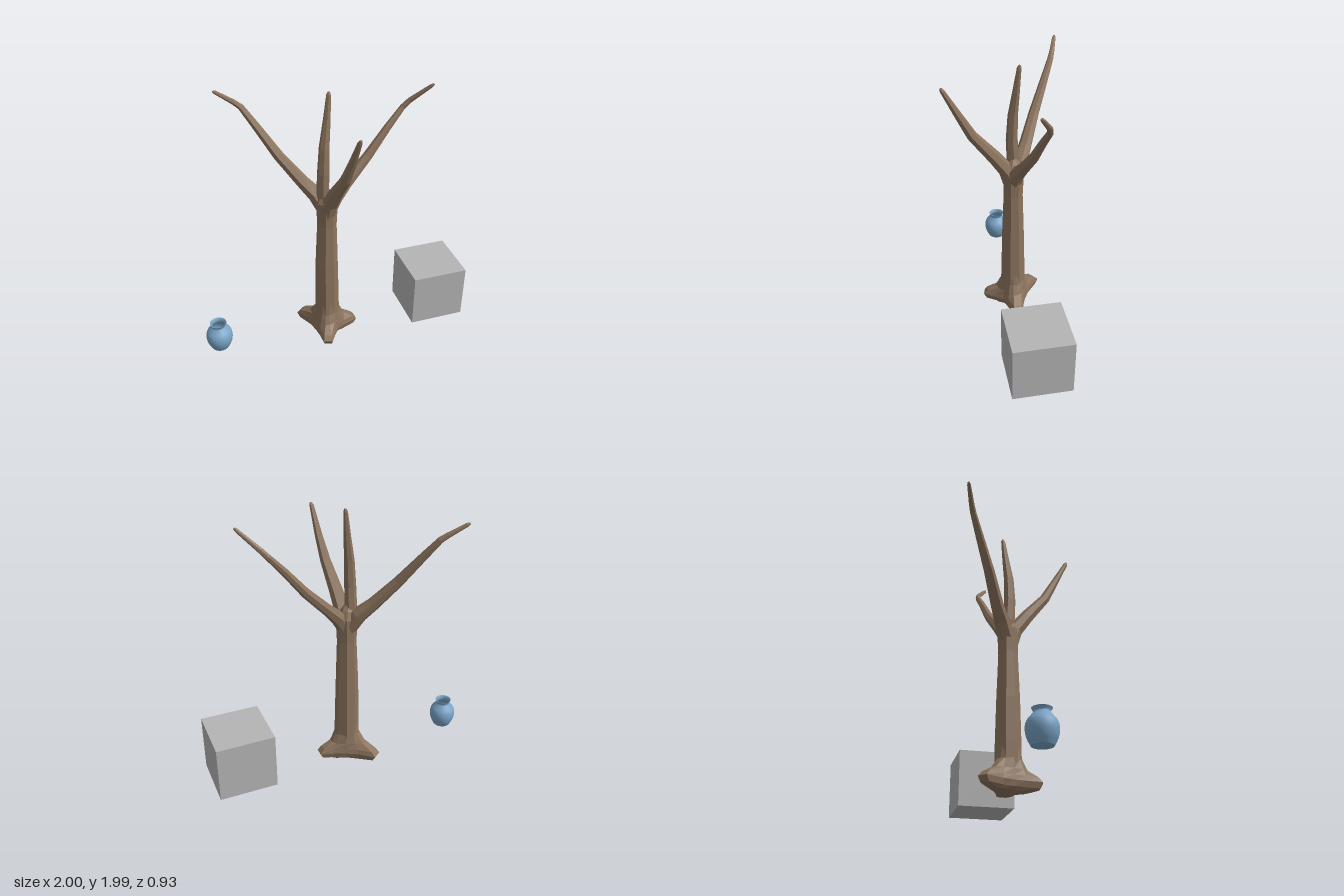
import * as THREE from 'three';

const V = (x, y, z) => new THREE.Vector3(x, y, z);
const DEG = Math.PI / 180;

// Closed skin over a stack of rings, all wound the same way
function loft(rings) {
  const pos = [];
  const tri = (...pts) => pts.forEach((p) => pos.push(p.x, p.y, p.z));
  const n = rings[0].length;
  const centre = (r) => r.reduce((s, p) => s.add(p), V(0, 0, 0)).divideScalar(n);
  const first = rings[0], last = rings[rings.length - 1];
  const c0 = centre(first), c1 = centre(last);
  for (let j = 0; j < n; j++) {
    const k = (j + 1) % n;
    for (let i = 0; i < rings.length - 1; i++) {
      const a = rings[i], b = rings[i + 1];
      tri(a[j], a[k], b[k]);
      tri(a[j], b[k], b[j]);
    }
    tri(c0, first[k], first[j]);
    tri(c1, last[j], last[k]);
  }
  const g = new THREE.BufferGeometry();
  g.setAttribute('position', new THREE.Float32BufferAttribute(pos, 3));
  g.computeVertexNormals();
  return g;
}

// Faceted limb through [x, y, z, radius] stations
function limb(stations, sides) {
  const pts = stations.map((s) => V(s[0], s[1], s[2]));
  return loft(pts.map((p, i) => {
    const t = pts[Math.min(i + 1, pts.length - 1)].clone().sub(pts[Math.max(i - 1, 0)]).normalize();
    const u = V(0, 0, 1).cross(t).normalize();
    const v = t.clone().cross(u);
    return Array.from({ length: sides }, (_, j) => {
      const a = ((j + 0.5) / sides) * Math.PI * 2, r = stations[i][3];
      return p.clone().addScaledVector(u, Math.cos(a) * r).addScaledVector(v, Math.sin(a) * r);
    });
  }));
}

// Flared foot with three root toes: per height, radius at toe, shoulder and valley
function rootGeometry() {
  const levels = [
    [0.0, 0.06, 0.05, 0.04],
    [0.012, 0.15, 0.115, 0.08],
    [0.03, 0.215, 0.13, 0.1],
    [0.07, 0.238, 0.145, 0.108],
    [0.105, 0.208, 0.135, 0.103],
    [0.15, 0.135, 0.115, 0.097],
    [0.22, 0.096, 0.092, 0.089],
    [0.29, 0.086, 0.086, 0.085],
    [0.36, 0.07, 0.07, 0.07],
  ];
  const toes = [[0, 0.97, 64], [129, 1.12, 192], [255, 0.96, 307]];
  return loft(levels.map(([y, toe, shoulder, valley]) => {
    const ring = [];
    const add = (deg, r) => ring.push(V(-0.06 + Math.cos(deg * DEG) * r, y, -0.03 - Math.sin(deg * DEG) * r));
    for (const [c, reach, gap] of toes) {
      const r = y < 0.2 ? toe * reach : toe;
      add(c - 26, shoulder);
      add(c - 8, r);
      add(c + 8, r);
      add(c + 26, shoulder);
      add(gap, valley);
    }
    return ring;
  }));
}

export function createModel() {
  const model = new THREE.Group();
  model.name = 'treeWithVaseAndBlock';
  const bark = new THREE.MeshStandardMaterial({ name: 'bark brown', color: 0x8c745e, flatShading: true });
  const glaze = new THREE.MeshStandardMaterial({ name: 'vase blue', color: 0x7ba5c8, side: THREE.DoubleSide });
  const grey = new THREE.MeshStandardMaterial({ name: 'block grey', color: 0xb4b4b4 });

  const add = (parent, name, geometry, material) => {
    const mesh = new THREE.Mesh(geometry, material);
    mesh.name = name;
    parent.add(mesh);
    return mesh;
  };

  // Tree
  const tree = new THREE.Group();
  tree.name = 'tree';
  model.add(tree);
  add(tree, 'roots', rootGeometry(), bark);
  add(tree, 'trunk', limb([
    [-0.06, 0.2, -0.03, 0.092], [-0.06, 0.35, -0.03, 0.09], [-0.06, 0.65, -0.03, 0.083],
    [-0.056, 1.0, -0.03, 0.07], [-0.055, 1.12, -0.03, 0.075], [-0.055, 1.19, -0.03, 0.078],
    [-0.06, 1.25, -0.035, 0.05], [-0.06, 1.29, -0.035, 0.02],
  ], 8), bark);

  // Branches, each ending in a small blunt tip
  const branches = {
    rightBranch: [
      [-0.06, 1.1, -0.04, 0.06], [-0.12, 1.22, -0.09, 0.058], [-0.2, 1.31, -0.145, 0.047],
      [-0.34, 1.49, -0.235, 0.038], [-0.46, 1.68, -0.33, 0.029], [-0.545, 1.81, -0.395, 0.022],
      [-0.59, 1.845, -0.415, 0.019], [-0.7, 1.912, -0.455, 0.013], [-0.716, 1.92, -0.46, 0.007],
    ],
    leftBranch: [
      [-0.05, 1.1, -0.03, 0.06], [0.02, 1.205, -0.045, 0.053], [0.1, 1.285, -0.065, 0.042],
      [0.27, 1.46, -0.1, 0.035], [0.42, 1.645, -0.125, 0.027], [0.53, 1.77, -0.143, 0.021],
      [0.575, 1.82, -0.13, 0.019], [0.695, 1.94, -0.055, 0.013], [0.708, 1.953, -0.046, 0.007],
    ],
    frontBranch: [
      [-0.055, 1.08, -0.02, 0.06], [-0.045, 1.2, 0.02, 0.058], [-0.035, 1.33, 0.115, 0.05],
      [-0.015, 1.51, 0.26, 0.038], [0.0, 1.67, 0.345, 0.028], [0.01, 1.86, 0.445, 0.016],
      [0.012, 1.88, 0.455, 0.008],
    ],
    topBranch: [
      [-0.065, 1.1, -0.04, 0.05], [-0.082, 1.25, -0.035, 0.046], [-0.08, 1.42, -0.025, 0.043],
      [-0.07, 1.61, -0.03, 0.037], [-0.045, 1.8, -0.048, 0.026], [-0.027, 1.965, -0.063, 0.016],
      [-0.025, 1.985, -0.065, 0.008],
    ],
  };
  for (const [name, stations] of Object.entries(branches)) add(tree, name, limb(stations, 7), bark);

  // Vase: smooth outer curve and an open hollow neck
  const outer = new THREE.SplineCurve([
    [0.066, 0], [0.088, 0.045], [0.098, 0.095], [0.09, 0.14], [0.062, 0.178], [0.05, 0.197], [0.061, 0.22],
  ].map(([r, y]) => new THREE.Vector2(r, y))).getPoints(24);
  const inner = [[0.055, 0.218], [0.045, 0.197], [0.056, 0.176], [0.08, 0.138], [0.088, 0.095], [0.06, 0.012], [0, 0.012]]
    .map(([r, y]) => new THREE.Vector2(r, y));
  const vase = new THREE.Group();
  vase.name = 'vase';
  vase.position.set(-0.903, 0.06, -0.04);
  model.add(vase);
  add(vase, 'vaseBody', new THREE.LatheGeometry(outer, 32), glaze);
  add(vase, 'vaseLining', new THREE.LatheGeometry([outer[outer.length - 1], ...inner], 32), glaze);
  add(vase, 'vaseFoot', new THREE.CircleGeometry(0.066, 32).rotateX(Math.PI / 2), glaze);

  // Block
  add(model, 'block', new THREE.BoxGeometry(0.42, 0.42, 0.42), grey).position.set(0.788, 0.27, -0.037);
  return model;
}
